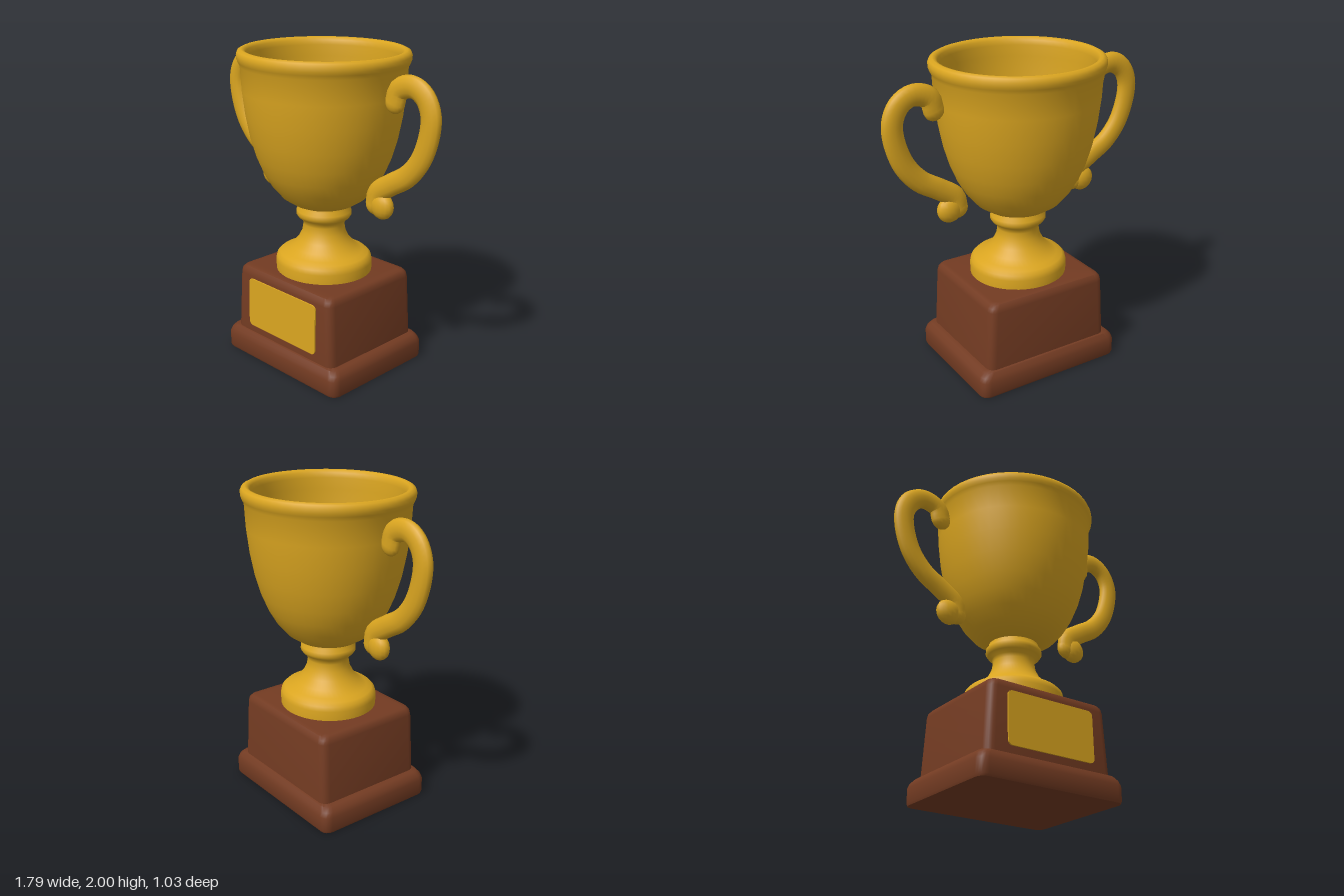
import * as THREE from 'three';
import { toCreasedNormals } from 'three/addons/utils/BufferGeometryUtils.js';

const gold = new THREE.MeshStandardMaterial({ color: 0xdaa520 });
gold.name = 'gold';
const wood = new THREE.MeshStandardMaterial({ color: 0x733b22 });
wood.name = 'brown wood';

function addMesh(parent, name, geometry, material) {
  const mesh = new THREE.Mesh(geometry, material);
  mesh.name = name;
  parent.add(mesh);
  return mesh;
}

// Closed solid through rounded rectangles: [halfWidth, halfDepth, cornerRadius, y]
function loftRects(rings) {
  const steps = 4, count = 4 * (steps + 1);
  const positions = [], index = [];
  for (const [w, d, r, y] of rings) {
    for (let c = 0; c < 4; c++) {
      const sx = c === 0 || c === 3 ? 1 : -1, sz = c < 2 ? 1 : -1;
      for (let s = 0; s <= steps; s++) {
        const a = (c + s / steps) * Math.PI / 2;
        positions.push(sx * (w - r) + r * Math.cos(a), y, sz * (d - r) + r * Math.sin(a));
      }
    }
  }
  for (let k = 0; k < rings.length - 1; k++) {
    for (let i = 0; i < count; i++) {
      const j = (i + 1) % count;
      const a = k * count + i, b = k * count + j;
      index.push(a, a + count, b, b, a + count, b + count);
    }
  }
  const top = (rings.length - 1) * count;
  for (let i = 1; i < count - 1; i++) {
    index.push(0, i, i + 1, top, top + i + 1, top + i);
  }
  const g = new THREE.BufferGeometry();
  g.setAttribute('position', new THREE.Float32BufferAttribute(positions, 3));
  g.setIndex(index);
  return toCreasedNormals(g, 0.75);
}

// Lathe with a slightly shallower depth than width
function turned(profile) {
  const g = new THREE.LatheGeometry(profile.map(([r, y]) => new THREE.Vector2(r, y)), 48);
  g.scale(1, 1, 0.965);
  return toCreasedNormals(g, 0.8);
}

// Flattened scroll handle on one side
function makeHandle(side) {
  const handle = new THREE.Group();
  handle.name = side > 0 ? 'leftHandle' : 'rightHandle';
  const path = new THREE.CatmullRomCurve3([
    [0.565, 1.755], [0.59, 1.83], [0.69, 1.862], [0.775, 1.82], [0.822, 1.73],
    [0.82, 1.62], [0.765, 1.46], [0.67, 1.345], [0.55, 1.27], [0.445, 1.195], [0.43, 1.125],
  ].map(([x, y]) => new THREE.Vector3(x * side, y, 0)));
  const flatten = (g) => g.scale(1, 1, 0.63);
  addMesh(handle, 'handleBar', flatten(new THREE.TubeGeometry(path, 44, 0.066, 12)), gold);
  const knob = (name, x, y, r) => {
    const m = addMesh(handle, name, flatten(new THREE.SphereGeometry(r, 16, 10)), gold);
    m.position.set(x * side, y, 0);
  };
  knob('upperScroll', 0.565, 1.755, 0.064);
  knob('lowerScrollInner', 0.43, 1.125, 0.066);
  knob('lowerScroll', 0.485, 1.125, 0.082);
  handle.position.z = -0.003;
  return handle;
}

export function createModel() {
  const trophy = new THREE.Group();
  trophy.name = 'trophy';

  // Wooden base: stepped foot and tapered block
  addMesh(trophy, 'baseFoot', loftRects([
    [0.5, 0.405, 0.05, 0], [0.505, 0.412, 0.055, 0.015], [0.505, 0.412, 0.055, 0.105],
    [0.495, 0.402, 0.055, 0.135], [0.47, 0.385, 0.05, 0.16], [0.43, 0.36, 0.04, 0.165],
  ]), wood);
  addMesh(trophy, 'baseBlock', loftRects([
    [0.44, 0.373, 0.05, 0.15], [0.418, 0.365, 0.05, 0.55],
    [0.412, 0.36, 0.05, 0.578], [0.395, 0.345, 0.045, 0.597], [0.37, 0.32, 0.04, 0.6],
  ]), wood);

  // Name plate on the front, tilted with the block
  const w = 0.305, h = 0.162, r = 0.03;
  const plate = new THREE.Shape();
  plate.moveTo(-w + r, -h);
  plate.absarc(w - r, -h + r, r, -Math.PI / 2, 0);
  plate.absarc(w - r, h - r, r, 0, Math.PI / 2);
  plate.absarc(-w + r, h - r, r, Math.PI / 2, Math.PI);
  plate.absarc(-w + r, -h + r, r, Math.PI, Math.PI * 1.5);
  const plaque = addMesh(trophy, 'plaque',
    new THREE.ExtrudeGeometry(plate, { depth: 0.009, bevelEnabled: false, curveSegments: 4 }), gold);
  plaque.position.set(0, 0.373, 0.3685);
  plaque.rotation.x = -0.02;

  // Turned stem
  addMesh(trophy, 'stem', turned([
    [0, 0.595], [0.31, 0.595], [0.312, 0.66], [0.305, 0.69], [0.285, 0.71], [0.25, 0.722],
    [0.205, 0.755], [0.165, 0.8], [0.14, 0.85], [0.132, 0.9], [0.138, 0.925], [0.165, 0.945],
    [0.178, 0.965], [0.176, 0.99], [0.16, 1.01], [0.155, 1.05],
  ]), gold);

  // Bowl: outside, rolled rim, inside
  addMesh(trophy, 'bowl', turned([
    [0, 1.02], [0.15, 1.02], [0.2, 1.04], [0.27, 1.085], [0.335, 1.16], [0.385, 1.245],
    [0.425, 1.34], [0.46, 1.46], [0.487, 1.6], [0.505, 1.75], [0.513, 1.9],
    [0.525, 1.925], [0.533, 1.945], [0.534, 1.97], [0.525, 1.99], [0.505, 2],
    [0.488, 1.996], [0.475, 1.98], [0.47, 1.95], [0.468, 1.88], [0.46, 1.74],
    [0.44, 1.58], [0.41, 1.43], [0.36, 1.28], [0.3, 1.18], [0.22, 1.115], [0.12, 1.085], [0, 1.08],
  ]), gold);

  trophy.add(makeHandle(1), makeHandle(-1));
  return trophy;
}
